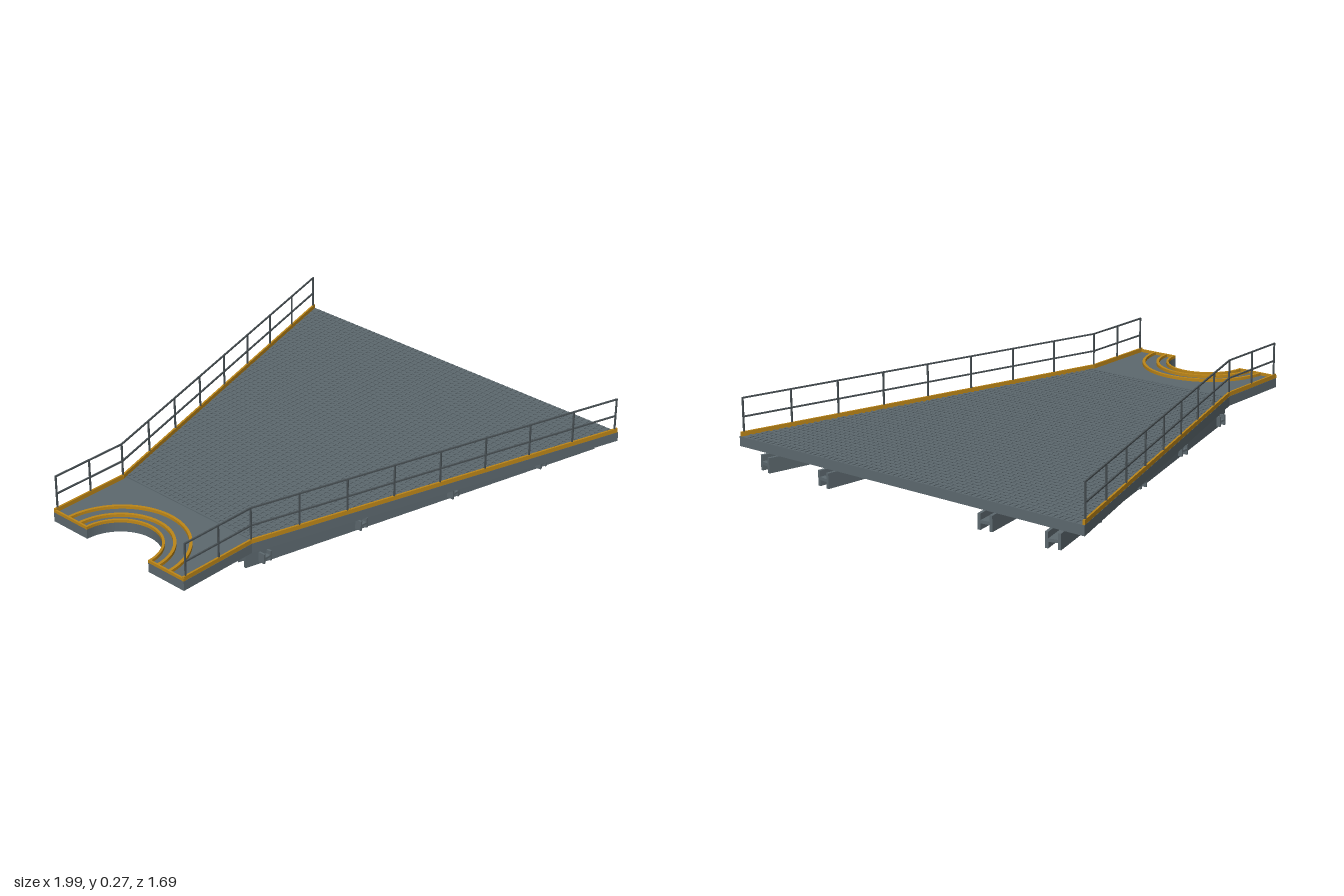
import * as THREE from 'three';

const mat = (name, color) => {
  const m = new THREE.MeshStandardMaterial({ color });
  m.name = name;
  return m;
};

export function createModel() {
  const model = new THREE.Group();
  model.name = 'platform';
  const steel = mat('slate steel', 0x5d696f);
  const yellow = mat('safety yellow', 0xbd8618);
  const railGrey = mat('rail grey', 0x4a5256);

  const TOP = 0.12, X0 = -0.995, XK = -0.64, X1 = 0.99;   // deck top, end, kink, wide end
  const Z0 = 0.355, Z1 = 0.845, NOTCH = 0.168;
  const edgeZ = x => x <= XK ? Z0 : Z0 + (Z1 - Z0) * (x - XK) / (X1 - XK);

  const add = (parent, name, geo, material) => {
    const m = new THREE.Mesh(geo, material);
    m.name = name;
    parent.add(m);
    return m;
  };
  const box = (parent, name, w, h, d, x, y, z, material) => {
    const m = add(parent, name, new THREE.BoxGeometry(w, h, d), material);
    m.position.set(x, y, z);
    return m;
  };
  // Horizontal bar between two [x, z] points
  const bar = (parent, name, a, b, y, h, d, material) => {
    const dx = b[0] - a[0], dz = b[1] - a[1];
    const m = box(parent, name, Math.hypot(dx, dz), h, d, (a[0] + b[0]) / 2, y, (a[1] + b[1]) / 2, material);
    m.rotation.y = -Math.atan2(dz, dx);
    return m;
  };
  // Flat shape in x/z, extruded upward from y
  const slab = (name, shape, y, h, material) => {
    const geo = new THREE.ExtrudeGeometry(shape, { depth: h, bevelEnabled: false, curveSegments: 32 });
    geo.rotateX(-Math.PI / 2);
    add(model, name, geo, material).position.y = y;
  };

  // Deck with a half-round notch in the narrow end
  const deck = new THREE.Shape();
  deck.moveTo(X0, -Z0);
  deck.lineTo(XK, -Z0);
  deck.lineTo(X1, -Z1);
  deck.lineTo(X1, Z1);
  deck.lineTo(XK, Z0);
  deck.lineTo(X0, Z0);
  deck.lineTo(X0, NOTCH);
  deck.absarc(X0, 0, NOTCH, Math.PI / 2, -Math.PI / 2, true);
  slab('deck', deck, 0.08, TOP - 0.08, steel);

  // Raised tread grid on the flared part
  const tread = new THREE.Group();
  tread.name = 'treadGrid';
  model.add(tread);
  for (let x = XK + 0.02; x < X1 - 0.01; x += 0.025) {
    box(tread, 'crossRib', 0.009, 0.004, 2 * (edgeZ(x) - 0.012), x, TOP + 0.002, 0, steel);
  }
  for (let i = -32; i <= 32; i++) {
    const z = i * 0.025, need = Math.abs(z) + 0.014;
    const start = need <= Z0 ? XK + 0.016 : XK + (need - Z0) / (Z1 - Z0) * (X1 - XK);
    if (start < X1 - 0.02) {
      box(tread, 'longRib', X1 - 0.004 - start, 0.004, 0.009, (X1 - 0.004 + start) / 2, TOP + 0.0015, z, steel);
    }
  }

  // Curved kerbs around the notch
  for (const [inner, outer] of [[NOTCH, 0.178], [0.209, 0.221], [0.269, 0.281]]) {
    const s = new THREE.Shape();
    s.absarc(X0, 0, outer, -Math.PI / 2, Math.PI / 2, false);
    s.absarc(X0, 0, inner, Math.PI / 2, -Math.PI / 2, true);
    slab('notchKerb', s, TOP, 0.012, yellow);
  }

  // Beam with two upright plates joined by a level web, along local x
  const hBeam = (name, a, b, y, size) => {
    const g = new THREE.Group();
    g.name = name;
    const dx = b[0] - a[0], dz = b[1] - a[1], len = Math.hypot(dx, dz), t = size * 0.2;
    for (const s of [-1, 1]) box(g, 'sidePlate', len, size, t, 0, 0, s * (size - t) / 2, steel);
    box(g, 'web', len, t, size - 2 * t, 0, 0, 0, steel);
    g.position.set((a[0] + b[0]) / 2, y, (a[1] + b[1]) / 2);
    g.rotation.y = -Math.atan2(dz, dx);
    model.add(g);
  };

  const postX = [-0.98, -0.81, XK, -0.44, -0.238, -0.036, 0.166, 0.368, 0.57, 0.772, 0.975];
  for (const s of [-1, 1]) {
    const at = (x, inset) => [x, s * (edgeZ(x) - inset)];
    // Toe boards and end kerbs
    const toeA = at(X0, 0.005), toeK = at(XK, 0.005), toeB = at(X1 - 0.002, 0.005);
    bar(model, 'toeBoard', toeA, toeK, TOP + 0.009, 0.018, 0.008, yellow);
    bar(model, 'toeBoard', toeK, toeB, TOP + 0.009, 0.018, 0.008, yellow);
    bar(model, 'endKerb', [X0 + 0.004, s * NOTCH], [X0 + 0.004, s * Z0], TOP + 0.006, 0.012, 0.008, yellow);

    // Guard rail
    const rail = new THREE.Group();
    rail.name = s > 0 ? 'frontRailing' : 'backRailing';
    model.add(rail);
    for (const x of postX) {
      const [px, pz] = at(x, 0.005);
      box(rail, 'post', 0.006, 0.155, 0.006, px, TOP + 0.0775, pz, railGrey);
    }
    for (const y of [0.198, 0.274]) {
      bar(rail, 'rail', at(-0.983, 0.005), at(XK, 0.005), y, 0.006, 0.006, railGrey);
      bar(rail, 'rail', at(XK, 0.005), at(0.978, 0.005), y, 0.006, 0.006, railGrey);
    }

    // Main beams fanning out toward the wide end
    for (const [near, far] of [[0.167, 0.398], [0.297, 0.708]]) {
      hBeam('mainBeam', [-0.64, s * near], [0.992, s * far], 0.034, 0.062);
    }
  }

  // Cross beams poking just past the outer main beams
  for (const x of [-0.57, -0.145, 0.28, 0.705]) {
    const z = 0.297 + 0.252 * (x + 0.64) + 0.055;
    hBeam('crossBeam', [x, -z], [x, z], 0.034, 0.042);
  }
  return model;
}
